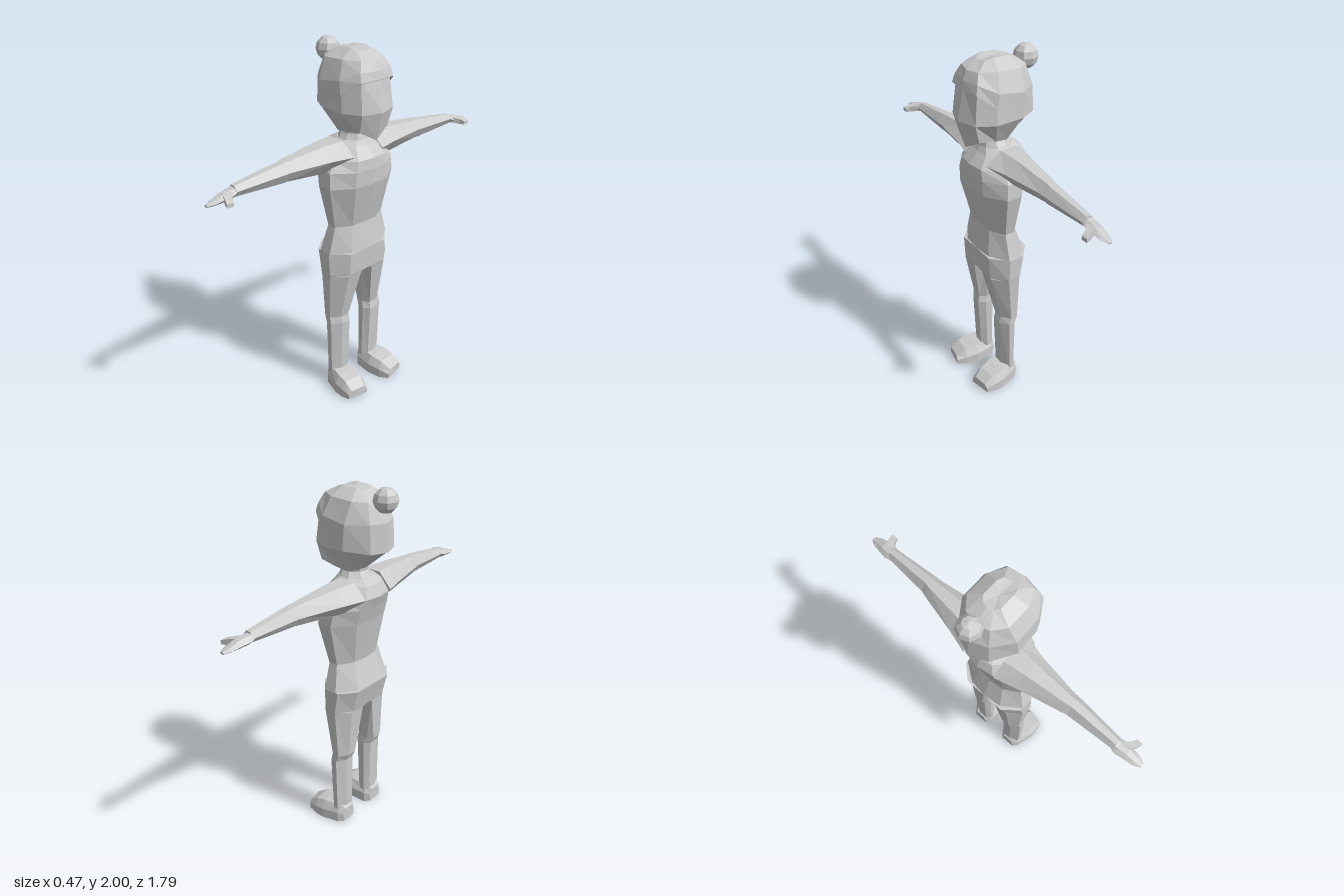
import * as THREE from 'three';

const material = new THREE.MeshStandardMaterial({ color: 0xcccccc, flatShading: true });

// Skin a list of equal-length point rings, cap both ends and face outward
function loft(name, rings) {
  const tris = [];
  const n = rings[0].length;
  for (let i = 0; i < rings.length - 1; i++) {
    for (let j = 0; j < n; j++) {
      const k = (j + 1) % n;
      const [a, b, c, d] = [rings[i][j], rings[i][k], rings[i + 1][k], rings[i + 1][j]];
      tris.push([a, b, c], [a, c, d]);
    }
  }
  const cap = (ring, flip) => {
    const mid = [0, 1, 2].map((q) => ring.reduce((s, p) => s + p[q], 0) / n);
    ring.forEach((p, j) => {
      const next = ring[(j + 1) % n];
      tris.push(flip ? [mid, next, p] : [mid, p, next]);
    });
  };
  cap(rings[0], true);
  cap(rings[rings.length - 1], false);
  const v = (p) => new THREE.Vector3(...p);
  const o = v(rings[0][0]);
  const volume = tris.reduce((s, [a, b, c]) =>
    s + v(a).sub(o).dot(v(b).sub(o).cross(v(c).sub(o))), 0);
  const points = tris.flatMap((t) => (volume < 0 ? [t[0], t[2], t[1]] : t));
  const geo = new THREE.BufferGeometry();
  geo.setAttribute('position', new THREE.Float32BufferAttribute(points.flat(), 3));
  geo.computeVertexNormals();
  const mesh = new THREE.Mesh(geo, material);
  mesh.name = name;
  return mesh;
}

// Complete a half ring (first and last points on z = 0)
const whole = (half) => [...half, ...half.slice(1, -1).reverse().map(([x, y, z]) => [x, y, -z])];

// Horizontal torso ring: back x, front x, half width, height
const torsoRing = ([x0, x1, w, y]) => {
  const d = x1 - x0;
  return whole([[x1, y, 0], [x1 - d * 0.04, y, w * 0.5], [x0 + d * 0.68, y, w],
    [x0 + d * 0.36, y, w], [x0 + d * 0.05, y, w * 0.5], [x0, y, 0]]);
};

// Horizontal leg ring; ci is the chamfer on the inner side
const legRing = (s) => ([x0, x1, z0, z1, y, ci]) => {
  const d = x1 - x0, w = z1 - z0;
  return [[x1, y, z0 + w * ci], [x1, y, z0 + w * 0.6], [x0 + d * 0.65, y, z1], [x0 + d * 0.3, y, z1],
    [x0, y, z0 + w * 0.6], [x0, y, z0 + w * ci], [x0 + d * (0.3 - 0.3 * (ci === 0)), y, z0],
    [x0 + d * (0.65 + 0.35 * (ci === 0)), y, z0]].map(([x, h, z]) => [x, h, z * s]);
};

// Upright arm ring: back x, front x, bottom, top, distance from the centre
const armRing = (s) => ([x0, x1, y0, y1, z]) => {
  const d = x1 - x0, h = y1 - y0;
  return [[x0, y0 + h * 0.45], [x0 + d * 0.28, y1], [x0 + d * 0.68, y1], [x1, y0 + h * 0.55],
    [x0 + d * 0.72, y0], [x0 + d * 0.25, y0]].map(([x, y]) => [x, y, z * s]);
};

export function createModel() {
  const model = new THREE.Group();
  model.name = 'figure';

  model.add(loft('torso', [
    [-0.105, 0.135, 0.21, 0.91], [-0.055, 0.11, 0.17, 1.06], [-0.1, 0.168, 0.222, 1.3],
    [-0.125, 0.17, 0.215, 1.385], [-0.145, 0.165, 0.18, 1.44],
    [-0.12, 0.115, 0.13, 1.5], [-0.07, 0.1, 0.09, 1.525]].map(torsoRing)));
  model.add(loft('neck', [
    [-0.075, 0.105, 0.095, 1.51], [-0.045, 0.09, 0.065, 1.555], [-0.05, 0.1, 0.07, 1.61]].map(torsoRing)));

  // Face and jaw
  model.add(loft('face', [
    [[0.185, 1.54, 0], [0.165, 1.595, 0.095], [0.07, 1.58, 0.1], [0, 1.567, 0.09], [-0.03, 1.565, 0.05], [-0.04, 1.565, 0]],
    [[0.225, 1.69, 0], [0.19, 1.69, 0.105], [0.1, 1.69, 0.155], [-0.04, 1.7, 0.165], [-0.155, 1.69, 0.09], [-0.192, 1.69, 0]],
    [[0.19, 1.85, 0], [0.172, 1.85, 0.095], [0.09, 1.83, 0.145], [-0.04, 1.8, 0.15], [-0.14, 1.8, 0.08], [-0.17, 1.8, 0]],
  ].map(whole)));

  // Hair cap with a hairline sloping down to the nape
  model.add(loft('hair', [
    [[0.2, 1.85, 0], [0.185, 1.845, 0.108], [0.1, 1.78, 0.163], [-0.04, 1.7, 0.167], [-0.158, 1.685, 0.092], [-0.195, 1.685, 0]],
    [[0.19, 1.89, 0], [0.172, 1.89, 0.1], [0.09, 1.85, 0.16], [-0.05, 1.83, 0.163], [-0.15, 1.83, 0.09], [-0.187, 1.83, 0]],
    [[0.168, 1.935, 0], [0.15, 1.94, 0.075], [0.07, 1.94, 0.12], [-0.06, 1.935, 0.12], [-0.12, 1.93, 0.07], [-0.14, 1.93, 0]],
    [[0.1, 1.968, 0], [0.09, 1.975, 0.04], [0.05, 1.985, 0.05], [-0.03, 1.98, 0.05], [-0.055, 1.972, 0.03], [-0.065, 1.972, 0]],
  ].map(whole)));

  const bun = new THREE.Mesh(new THREE.SphereGeometry(0.064, 8, 6), material);
  bun.name = 'hairBun';
  bun.position.set(-0.172, 1.937, 0);
  model.add(bun);

  for (const s of [1, -1]) {
    // The figure looks along +x, so its limbs mirror across z
    const side = s > 0 ? 'front' : 'rear';

    model.add(loft(side + 'Sleeve', [
      [-0.135, 0.13, 1.38, 1.523, 0.1], [-0.1, 0.1, 1.382, 1.52, 0.22], [-0.047, 0.067, 1.403, 1.503, 0.45],
      [-0.038, 0.067, 1.404, 1.5, 0.48], [-0.018, 0.048, 1.415, 1.468, 0.745]].map(armRing(s))));
    model.add(loft(side + 'Hand', [
      [-0.02, 0.045, 1.42, 1.462, 0.735], [-0.027, 0.055, 1.415, 1.455, 0.76], [-0.018, 0.055, 1.41, 1.448, 0.81],
      [-0.01, 0.05, 1.408, 1.43, 0.86], [0.008, 0.034, 1.408, 1.419, 0.895]].map(armRing(s))));
    model.add(loft(side + 'Thumb', [
      [0.03, 0.755, 0.03, 0.81, 1.418, 1.45], [0.075, 0.79, 0.07, 0.825, 1.41, 1.44],
      [0.1, 0.8, 0.1, 0.835, 1.41, 1.43]].map(([xa, za, xb, zb, y0, y1]) =>
      [[xa, y0, za * s], [xa, y1, za * s], [xb, y1, zb * s], [xb, y0, zb * s]])));

    // Trousers narrowing to a fold below the knee
    model.add(loft(side + 'Leg', [
      [-0.105, 0.135, 0, 0.21, 0.912, 0], [-0.07, 0.128, 0, 0.21, 0.78, 0], [-0.068, 0.125, 0.02, 0.208, 0.77, 0.1],
      [-0.046, 0.066, 0.062, 0.19, 0.48, 0.18], [-0.027, 0.075, 0.055, 0.192, 0.44, 0.2],
      [-0.02, 0.06, 0.055, 0.185, 0.09, 0.2]].map(legRing(s))));

    // Shoe sections from heel to toe, turned slightly outward
    model.add(loft(side + 'Shoe', [
      [-0.03, 0.08, 0.165, 0.005, 0.09], [0.0, 0.055, 0.19, 0, 0.115], [0.1, 0.048, 0.217, 0, 0.11],
      [0.165, 0.065, 0.217, 0, 0.098], [0.22, 0.09, 0.21, 0.01, 0.062]].map(([x, z0, z1, y0, y1]) => {
      const lip = y0 + (y1 - y0) * 0.55, w = (z1 - z0) * 0.16;
      const skew = x > 0.12 ? 0.012 : 0;
      return [[x + skew, y0, z0], [x + skew, lip, z0], [x + skew / 2, y1, z0 + w],
        [x - skew / 2, y1, z1 - w], [x - skew, lip, z1], [x - skew, y0, z1]].map(([a, b, c]) => [a, b, c * s]);
    })));
  }
  return model;
}
